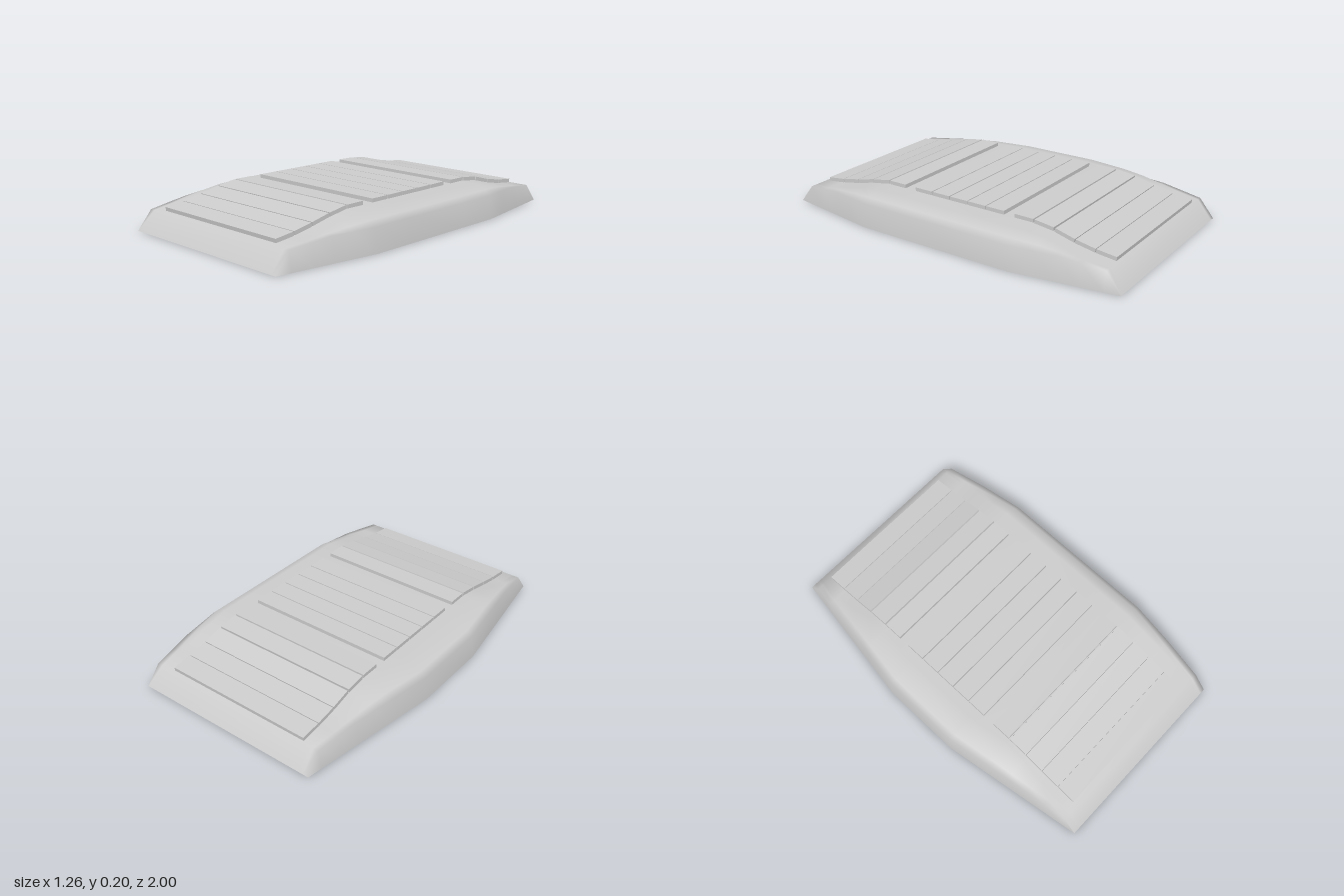
import * as THREE from 'three';

// Height profile of the deck along its length: [z, y]
const PROFILE = [[-1, 0], [-0.92, 0.1], [-0.8, 0.113], [-0.69, 0.133], [-0.57, 0.165], [-0.45, 0.18],
  [-0.22, 0.18], [0.22, 0.18], [0.45, 0.18], [0.57, 0.16], [0.69, 0.133], [0.8, 0.113], [0.92, 0.1], [1, 0]];

function deckHeight(z) {
  for (let i = 1; i < PROFILE.length; i++) {
    const [z0, y0] = PROFILE[i - 1], [z1, y1] = PROFILE[i];
    if (z <= z1) return THREE.MathUtils.lerp(y0, y1, (z - z0) / (z1 - z0));
  }
  return 0;
}

// Half width of the outline: straight in the middle, tapering to the ends
const outline = (z, end, mid, flat) =>
  THREE.MathUtils.lerp(mid, end, Math.max(0, (Math.abs(z) - flat) / (1 - flat)));

// Open shell lofted through cross-sections from back to front
function shellGeometry() {
  const pos = [], index = [];
  const n = 8;
  for (const [z, y] of PROFILE) {
    const l = outline(z, 0.515, 0.635, 0.22), r = outline(z, 0.545, 0.63, 0.45);
    const shoulder = Math.min(y, 0.125);
    const inset = THREE.MathUtils.clamp((y - 0.1) / 0.08, 0, 1);
    const lean = y > 0 ? 0.016 : 0;
    const ring = [
      [-l, 0], [-l + lean, shoulder],
      [-l + lean + 0.03, THREE.MathUtils.lerp(shoulder, y, 0.5)],
      [-l + 0.06 + 0.1 * inset, y], [r - 0.06 - 0.05 * inset, y],
      [r - lean - 0.03, THREE.MathUtils.lerp(shoulder, y, 0.5)],
      [r - lean, shoulder], [r, 0],
    ];
    for (const [px, py] of ring) pos.push(px, py, z);
  }
  for (let i = 0; i < PROFILE.length - 1; i++) {
    for (let j = 0; j < n - 1; j++) {
      const a = i * n + j, b = a + 1, c = a + n, d = c + 1;
      index.push(a, c, b, b, c, d);
    }
  }
  const g = new THREE.BufferGeometry();
  g.setAttribute('position', new THREE.Float32BufferAttribute(pos, 3));
  g.setIndex(index);
  g.computeVertexNormals();
  return g;
}

export function createModel() {
  const model = new THREE.Group();
  model.name = 'ramp';
  const material = new THREE.MeshStandardMaterial({ color: 0xcccccc, side: THREE.DoubleSide });

  const shell = new THREE.Mesh(shellGeometry(), material);
  shell.name = 'shell';
  model.add(shell);

  // Three groups of five slats, each tilted to follow the deck
  const pitch = 0.1125, depth = 0.107, thickness = 0.05, proud = 0.02;
  [-0.91, -0.291, 0.335].forEach((start, g) => {
    const group = new THREE.Group();
    group.name = ['backSlats', 'middleSlats', 'frontSlats'][g];
    for (let i = 0; i < 5; i++) {
      const z0 = start + i * pitch, z1 = z0 + depth;
      const y0 = deckHeight(z0), y1 = deckHeight(z1);
      const slat = new THREE.Mesh(
        new THREE.BoxGeometry(0.845, thickness, Math.hypot(depth, y1 - y0)), material);
      slat.name = 'slat';
      slat.position.set(0.005, (y0 + y1) / 2 + proud - thickness / 2, (z0 + z1) / 2);
      slat.rotation.x = -Math.atan2(y1 - y0, depth);
      group.add(slat);
    }
    model.add(group);
  });
  return model;
}
